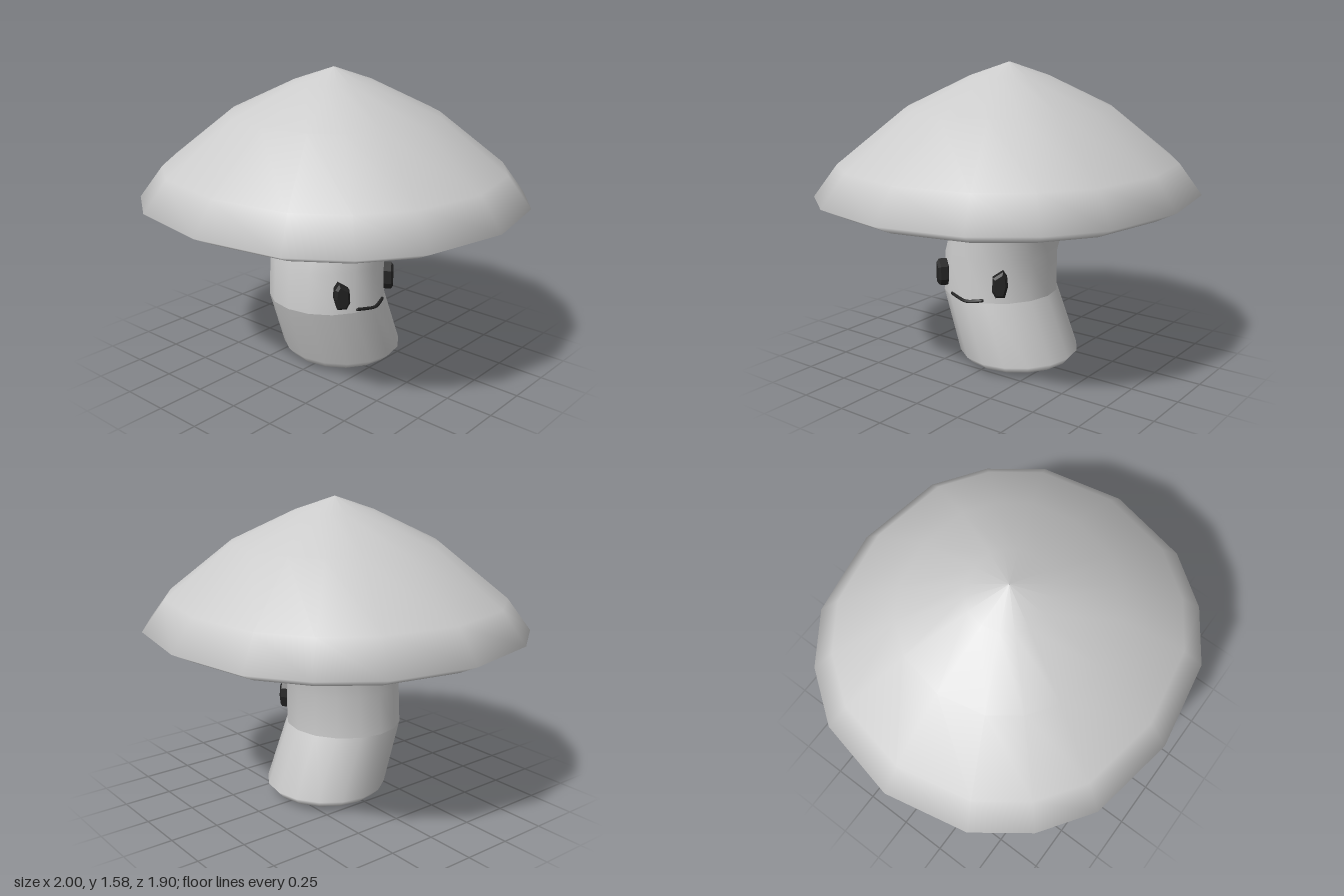
import * as THREE from 'three';

const grey = new THREE.MeshStandardMaterial({ color: 0xcccccc });
const dark = new THREE.MeshStandardMaterial({ color: 0x222222 });

// Smooth skin through rings listed bottom to top: [y, xScale, zScale, zOffset]
function loft(outline, rings) {
  const n = outline.length, pos = [], idx = [];
  for (const [y, sx, sz, oz = 0] of rings)
    for (const [x, z] of outline) pos.push(x * sx, y, z * sz + oz);
  for (let r = 0; r < rings.length - 1; r++)
    for (let i = 0; i < n; i++) {
      const j = (i + 1) % n, a = r * n + i, b = r * n + j, c = a + n, d = b + n;
      if (rings[r + 1][1] > 0) idx.push(a, c, d);
      if (rings[r][1] > 0) idx.push(a, d, b);
      else if (rings[r + 1][1] === 0) continue;
      if (rings[r + 1][1] === 0) idx.push();
    }
  const g = new THREE.BufferGeometry();
  g.setAttribute('position', new THREE.Float32BufferAttribute(pos, 3));
  g.setIndex(idx);
  g.computeVertexNormals();
  return g;
}

function add(parent, name, geometry, material) {
  const m = new THREE.Mesh(geometry, material);
  m.name = name;
  parent.add(m);
  return m;
}

export function createModel() {
  const model = new THREE.Group();
  model.name = 'mushroom';

  // Cap: sixteen-sided rim, mirrored from one quarter
  const quarter = [[1, 0], [0.91, 0.43], [0.72, 0.69], [0.46, 0.87], [0, 0.95]];
  const half = [...quarter, ...quarter.slice(0, 4).reverse().map(([x, z]) => [-x, z])];
  const rim = [...half, ...half.slice(1, -1).reverse().map(([x, z]) => [x, -z])];
  const capRings = [[0.755, 0.3], [0.867, 0.89], [0.92, 1], [1.08, 0.88],
    [1.35, 0.54], [1.51, 0.205], [1.58, 0.001]].map(([y, r]) => [y, r, r]);
  add(model, 'cap', loft(rim, capRings), grey);

  // Stem: leaning lower part, bent upper part and flat base
  const circle = Array.from({ length: 16 }, (_, i) => {
    const a = (i / 16) * Math.PI * 2;
    return [Math.cos(a), Math.sin(a)];
  });
  const bend = [0.385, 0.312, 0.3, 0.055], foot = [0, 0.19, 0.18, -0.07];
  const stem = new THREE.Group();
  stem.name = 'stem';
  model.add(stem);
  add(stem, 'lowerStem', loft(circle, [foot, [0.03, 0.28, 0.275, -0.065],
    [0.07, 0.323, 0.31, -0.065], bend]), grey);
  add(stem, 'upperStem', loft(circle, [bend, [0.6, 0.307, 0.295, 0.05],
    [0.77, 0.307, 0.293, 0]]), grey);
  add(stem, 'stemBase', loft(circle, [[0, 0.001, 0.001, -0.07], foot]), grey);

  // Eyes: teardrop plates facing outward on the +x side
  const tear = [[-0.018, 0.068], [0.034, 0.034], [0.038, -0.035], [0.02, -0.068],
    [-0.026, -0.068], [-0.042, -0.01], [-0.038, 0.038]];
  for (const s of [1, -1]) {
    const shape = new THREE.Shape(tear.map(([x, y]) => new THREE.Vector2(x * s, y)));
    const geo = new THREE.ExtrudeGeometry(shape, {
      depth: 0.04, bevelThickness: 0.012, bevelSize: 0.012, bevelOffset: -0.012, bevelSegments: 1,
    });
    const eye = add(model, s > 0 ? 'leftEye' : 'rightEye', geo, dark);
    eye.position.set(0.245, 0.495, 0.055 + s * 0.172);
    eye.rotation.y = Math.PI / 2 - s * 0.64;
  }

  // Mouth: thin smile wrapped around the stem
  const smile = new THREE.CatmullRomCurve3([[0.29, 0.4, 0.155], [0.307, 0.392, 0.1],
    [0.318, 0.386, 0.045], [0.31, 0.391, 0], [0.295, 0.399, -0.043]]
    .map((p) => new THREE.Vector3(...p)));
  add(model, 'mouth', new THREE.TubeGeometry(smile, 12, 0.009, 6), dark);
  for (const t of [0, 1]) {
    const end = add(model, 'mouthEnd', new THREE.SphereGeometry(0.009, 6, 4), dark);
    end.position.copy(smile.getPoint(t));
  }
  return model;
}
